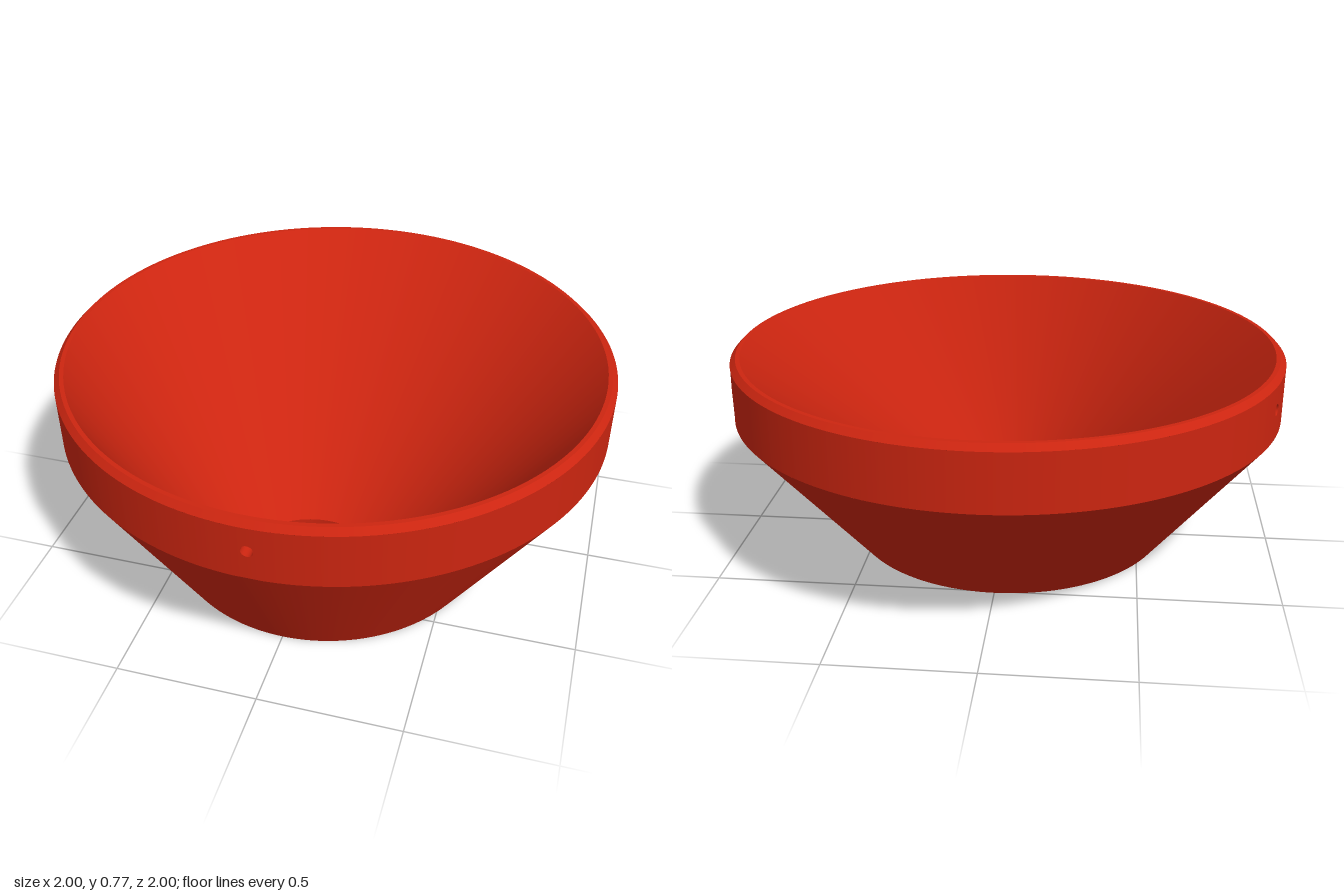
import * as THREE from 'three';

const SEG = 144;
const RIM_BOTTOM = 0.55, RIM_TOP = 0.75, TOP = 0.77, INNER = 0.965;
const BASE_R = 0.61, BASE_Z = 0.10;
const OPEN_R = 0.28, OPEN_Z = 0.385, THROAT = 0.03;
const PIN_R = 0.021, PIN_Y = 0.66, PATCH = 0.05;

// Slanted frustum between two horizontal circles whose centres differ in z
function slantedFrustum(r0, y0, z0, r1, y1, z1, inward) {
  const g = new THREE.CylinderGeometry(r1, r0, y1 - y0, SEG, 8, true);
  const p = g.attributes.position, n = g.attributes.normal, uv = g.attributes.uv;
  const h = y1 - y0, v = new THREE.Vector3();
  for (let i = 0; i < p.count; i++) {
    const a = uv.getX(i) * Math.PI * 2, t = (p.getY(i) + h / 2) / h;
    p.setY(i, y0 + t * h);
    p.setZ(i, p.getZ(i) + z0 + (z1 - z0) * t);
    v.set(h * Math.sin(a), -(r1 - r0) - (z1 - z0) * Math.cos(a), h * Math.cos(a)).normalize();
    if (inward) v.negate();
    n.setXYZ(i, v.x, v.y, v.z);
  }
  if (inward) g.setIndex(Array.from(g.index.array).reverse());
  return g;
}

function circlePath(x, y, r) {
  return new THREE.Path().absarc(x, y, r, 0, Math.PI * 2, true);
}

// Small rim panel with a round hole, bent round the unit cylinder
function rimPatch() {
  const s = new THREE.Shape([
    new THREE.Vector2(-PATCH, RIM_BOTTOM), new THREE.Vector2(PATCH, RIM_BOTTOM),
    new THREE.Vector2(PATCH, RIM_TOP), new THREE.Vector2(-PATCH, RIM_TOP),
  ]);
  s.holes.push(circlePath(0, PIN_Y, PIN_R));
  const g = new THREE.ShapeGeometry(s, 24);
  const p = g.attributes.position, n = g.attributes.normal;
  for (let i = 0; i < p.count; i++) {
    const a = p.getX(i);
    p.setXYZ(i, Math.sin(a), p.getY(i), Math.cos(a));
    n.setXYZ(i, Math.sin(a), 0, Math.cos(a));
  }
  return g;
}

export function createModel() {
  const model = new THREE.Group();
  model.name = 'offsetFunnel';
  const red = new THREE.MeshStandardMaterial({ color: 0xcc2510, side: THREE.DoubleSide });
  red.name = 'red';
  const add = (name, geometry, parent = model) => {
    const m = new THREE.Mesh(geometry, red);
    m.name = name;
    parent.add(m);
    return m;
  };
  const lathe = (pts, start = 0, length = Math.PI * 2, seg = SEG) =>
    new THREE.LatheGeometry(pts.map(([r, y]) => new THREE.Vector2(r, y)), seg, start, length);

  // Blind hole: a short wall and an end disc, running into -z from its mouth
  const blindHole = (name, r, depth) => {
    const g = new THREE.Group();
    g.name = name;
    const wall = new THREE.CylinderGeometry(r, r, depth, 24, 1, true);
    wall.rotateX(Math.PI / 2).translate(0, 0, -depth / 2);
    add('holeWall', wall, g);
    add('holeEnd', new THREE.CircleGeometry(r, 24).translate(0, 0, -depth), g);
    return g;
  };

  // Bowl: outer and inner slanted walls
  add('outerWall', slantedFrustum(BASE_R, 0, BASE_Z, 1, RIM_BOTTOM, 0, false));
  add('innerWall', slantedFrustum(OPEN_R, THROAT, OPEN_Z, INNER, TOP, 0, true));
  add('throat', slantedFrustum(OPEN_R, 0, OPEN_Z, OPEN_R, THROAT, OPEN_Z, true));

  // Underside with the offset opening and a small centre hole
  const base = new THREE.Shape().absarc(0, BASE_Z, BASE_R, 0, Math.PI * 2, false);
  base.holes.push(circlePath(0, OPEN_Z, OPEN_R), circlePath(0, 0, 0.018));
  add('underside', new THREE.ShapeGeometry(base, SEG / 2).rotateX(Math.PI / 2));
  const centreHole = blindHole('centreHole', 0.018, 0.04);
  centreHole.rotation.x = Math.PI / 2;
  model.add(centreHole);

  // Rim: upright bands between three drilled panels
  const deg = Math.PI / 180;
  const angles = [0, 110 * deg, 250 * deg];
  angles.forEach((a, i) => {
    const next = i < 2 ? angles[i + 1] : Math.PI * 2;
    add('rimBand', lathe([[1, RIM_BOTTOM], [1, RIM_TOP]], a + PATCH, next - a - 2 * PATCH, 56));
    add('rimPanel', rimPatch()).rotation.y = a;
    const hole = blindHole('rimHole', PIN_R, 0.05);
    hole.position.set(Math.sin(a), PIN_Y, Math.cos(a));
    hole.rotation.y = a;
    model.add(hole);
  });

  // Bevel and narrow flat lip
  add('rimBevel', lathe([[1, RIM_TOP], [0.98, TOP]]));
  add('rimLip', lathe([[0.98, TOP], [INNER, TOP]]));
  return model;
}
